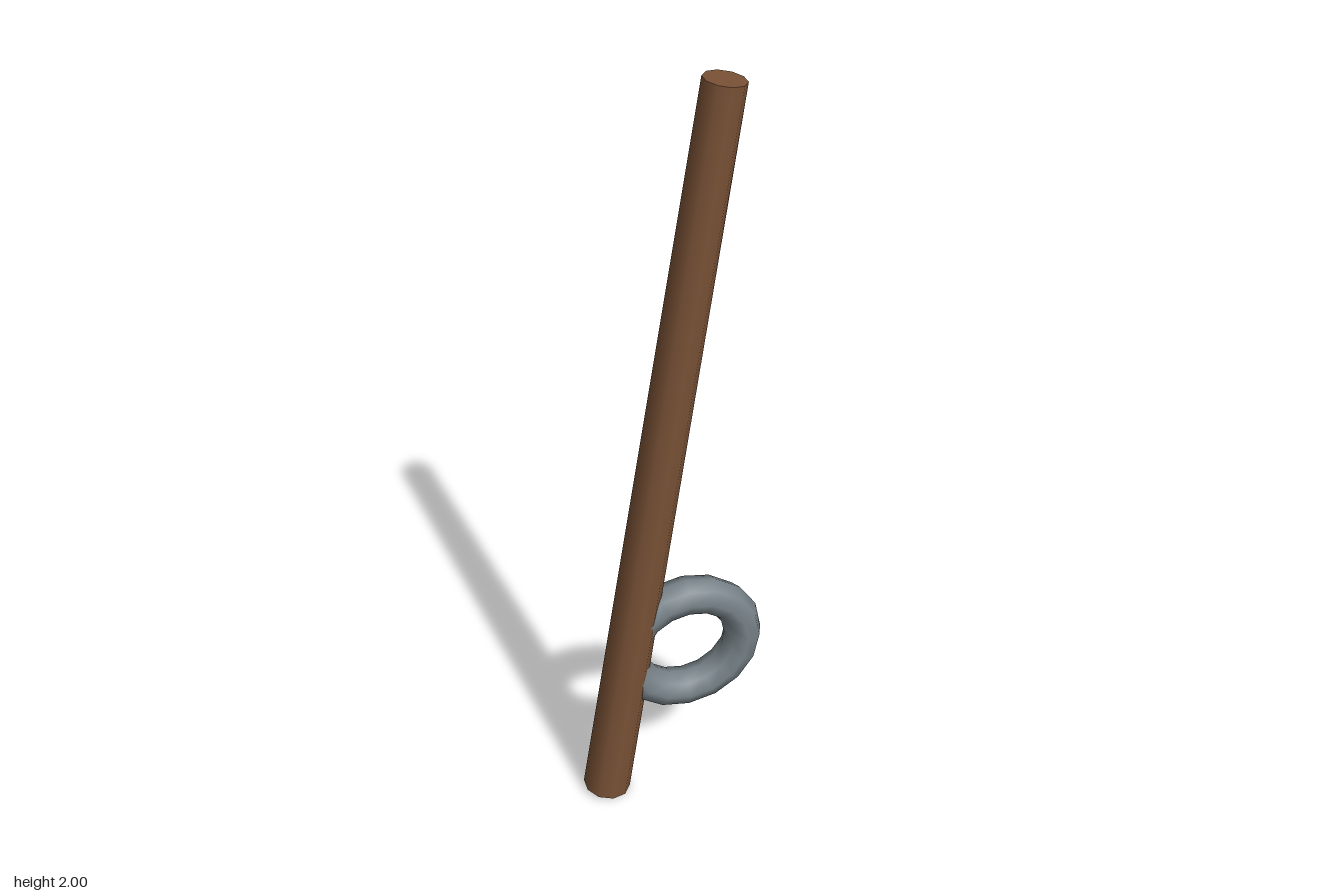
import * as THREE from 'three';

const TILT = 0.15;

function part(name, geometry, color, x, y) {
  const mesh = new THREE.Mesh(geometry, new THREE.MeshStandardMaterial({ color }));
  mesh.name = name;
  mesh.position.set(x, y, 0);
  return mesh;
}

export function createModel() {
  const group = new THREE.Group();
  group.name = 'poleWithRing';

  // Tapered ten-sided wooden pole, leaning toward +x
  const pole = part('pole', new THREE.CylinderGeometry(0.049, 0.063, 2.006, 10), 0x7a5236, -0.036, 1.001);
  pole.rotation.z = -TILT;
  group.add(pole);

  // Metal ring sunk into the side of the pole
  group.add(part('ring', new THREE.TorusGeometry(0.156, 0.05, 8, 16), 0x778288, 0.037, 0.467));

  return group;
}
